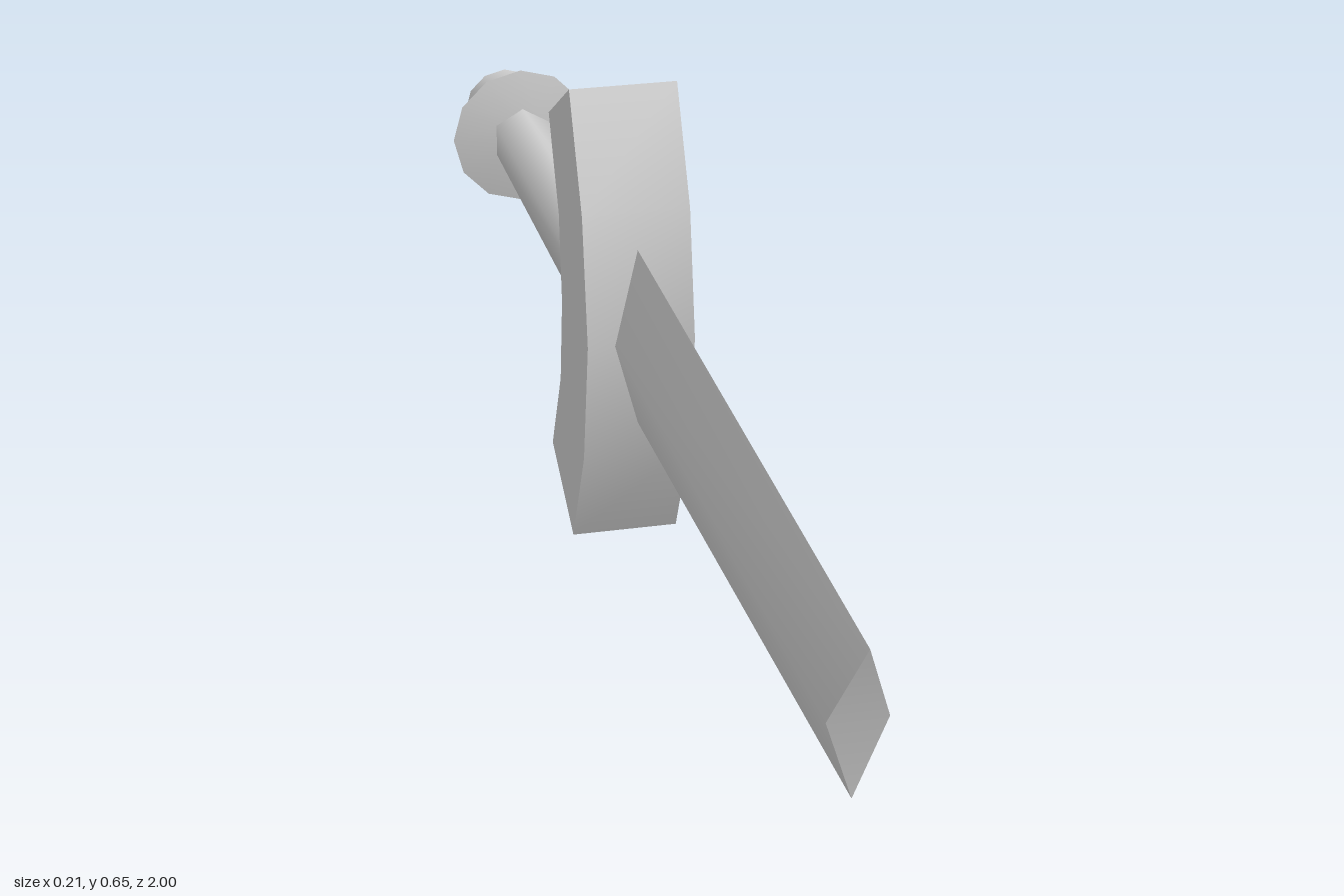
import * as THREE from 'three';
import { toCreasedNormals } from 'three/addons/utils/BufferGeometryUtils.js';

const AXIS_Y = 0.33; // height of the sword's long axis, which runs along z

export function createModel() {
  const sword = new THREE.Group();
  sword.name = 'sword';
  const material = new THREE.MeshStandardMaterial({ color: 0xcccccc });

  const add = (name, geometry, crease) => {
    const mesh = new THREE.Mesh(toCreasedNormals(geometry, crease), material);
    mesh.name = name;
    sword.add(mesh);
    return mesh;
  };

  // turned part around the sword axis; profile is [radius, z] from back to front
  const turned = (name, profile, sides, crease) => {
    const points = profile.map(([r, z]) => new THREE.Vector2(r, z));
    const geometry = new THREE.LatheGeometry(points, sides).rotateX(Math.PI / 2);
    add(name, geometry, crease).position.y = AXIS_Y;
  };

  // blade: diamond section with a slanted, cut-off tip
  const root = [[0, 0.456, -0.1], [0.036, 0.33, -0.1], [0, 0.204, -0.1], [-0.036, 0.33, -0.1]];
  const tip = [[0, 0.435, 1], [0.036, 0.33, 0.963], [0, 0.222, 0.947], [-0.036, 0.33, 0.963]];
  const index = [4, 7, 5, 5, 7, 6, 0, 1, 3, 1, 2, 3];
  for (let i = 0; i < 4; i++) {
    const j = (i + 1) % 4;
    index.push(i, i + 4, j + 4, i, j + 4, j);
  }
  const blade = new THREE.BufferGeometry();
  blade.setAttribute('position', new THREE.Float32BufferAttribute([...root, ...tip].flat(), 3));
  blade.setIndex(index);
  add('blade', blade, 0.7);

  // crossguard: curved bar, mirrored above and below the axis, points are [z, height from axis]
  const outer = [[-0.165, 0.327], [-0.09, 0.175], [-0.06, 0]];
  const inner = [[-0.225, 0], [-0.24, 0.122], [-0.3, 0.247]];
  const half = [...outer].reverse().concat([...inner].reverse());
  const mirrored = half.slice(1, -1).reverse().map(([z, y]) => [z, -y]);
  const guardShape = new THREE.Shape([...half, ...mirrored].map(([z, y]) => new THREE.Vector2(z, y)));
  const guard = new THREE.ExtrudeGeometry(guardShape, { depth: 0.146, bevelEnabled: false });
  guard.translate(0, 0, -0.073).rotateY(-Math.PI / 2);
  add('crossguard', guard, 0.6).position.y = AXIS_Y;

  // six-sided collar with a small chamfer, and the grip
  turned('collar', [[0, -0.283], [0.058, -0.283], [0.067, -0.272], [0.067, -0.22]], 6, 0.7);
  turned('grip', [[0.047, -0.88], [0.051, -0.26]], 6, 1.1);

  // pommel with a flared rim towards the grip
  turned('pommel', [[0, -1], [0.062, -1], [0.068, -0.905], [0.08, -0.89],
    [0.105, -0.87], [0.045, -0.857], [0, -0.857]], 12, 1);

  return sword;
}
